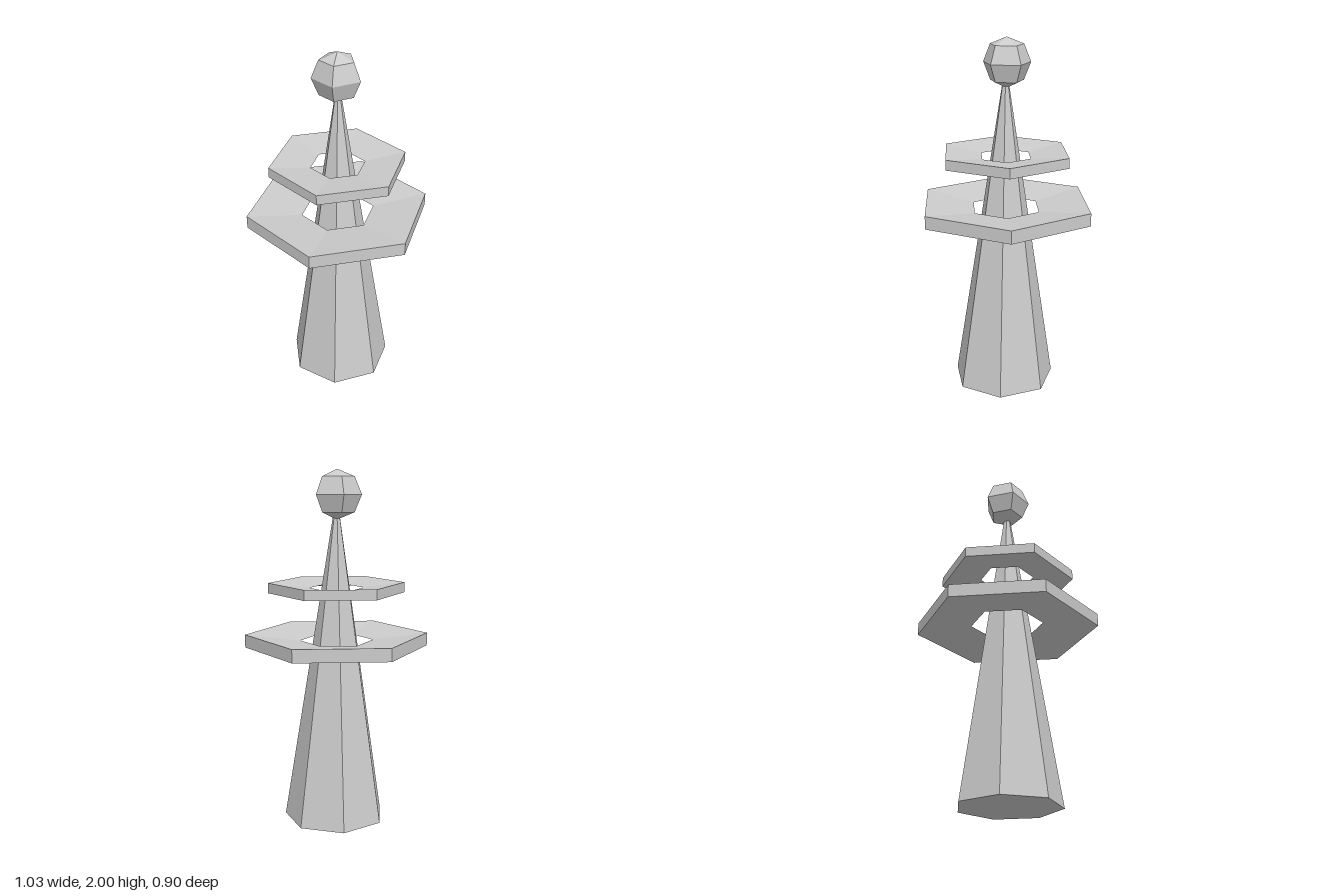
import * as THREE from 'three';

export function createModel() {
  const group = new THREE.Group();
  const material = new THREE.MeshStandardMaterial({ color: 0xcccccc, flatShading: true });

  const add = (name, geometry, x, y, z) => {
    const mesh = new THREE.Mesh(geometry, material);
    mesh.name = name;
    mesh.position.set(x, y, z);
    group.add(mesh);
  };

  // Seven-sided spire, leaning slightly so its tip meets the ball
  const height = 1.87;
  const spire = new THREE.CylinderGeometry(0, 0.293, height, 7, 1, false, THREE.MathUtils.degToRad(92));
  spire.translate(0, height / 2, 0);
  spire.applyMatrix4(new THREE.Matrix4().makeShear(0, 0, -0.009, 0, 0, 0));
  add('spire', spire, 0.0165, 0, 0);

  // Hexagonal rings with a wedge section that thins towards the hole
  const ring = (name, outer, inner, y, thickness) => {
    const h = thickness / 2;
    const section = [[inner, 0], [outer, -h], [outer, h], [inner, 0]].map(([r, v]) => new THREE.Vector2(r, v));
    add(name, new THREE.LatheGeometry(section, 6, Math.PI / 2), 0, y, 0);
  };
  ring('lowerRing', 0.517, 0.206, 1.049, 0.073);
  ring('upperRing', 0.383, 0.153, 1.348, 0.057);

  // Faceted five-sided ball on the tip
  add('ball', new THREE.SphereGeometry(0.137, 5, 4, -Math.PI / 2), -0.006, 1.863, -0.001);

  return group;
}
